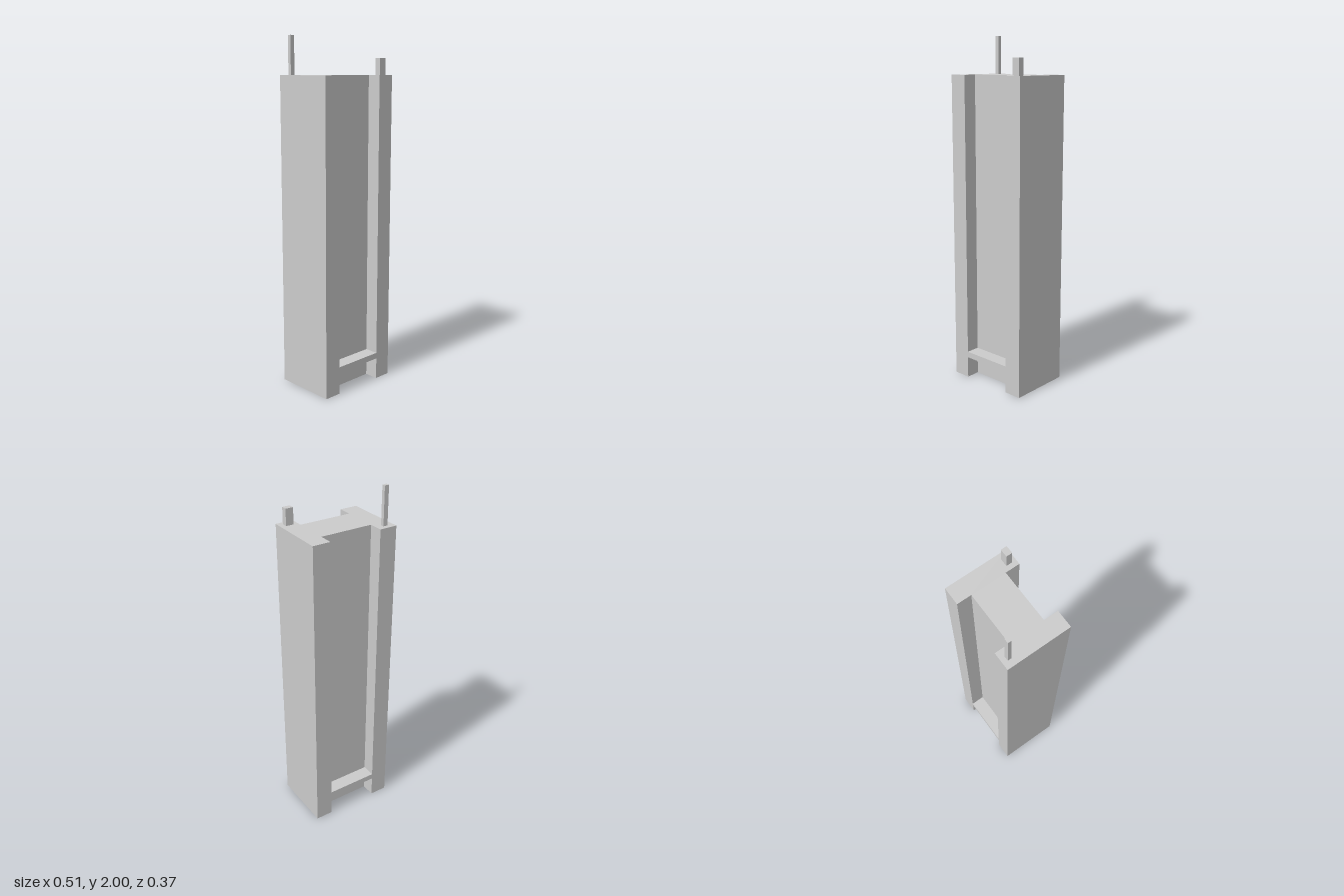
import * as THREE from 'three';

export function createModel() {
  const model = new THREE.Group();
  const material = new THREE.MeshStandardMaterial({ color: 0xcccccc, flatShading: true, side: THREE.DoubleSide });

  const W = 0.255, D = 0.183;          // half width and half depth of the tower
  const R = 0.153, C = 0.101;          // half width of the recesses, half thickness of the core
  const H = 1.785;                     // tower height
  const ledgeLow = 0.125, ledgeHigh = 0.16;

  const add = (parent, name, geometry, x, y, z) => {
    const mesh = new THREE.Mesh(geometry, material);
    mesh.name = name;
    mesh.position.set(x, y, z);
    parent.add(mesh);
    return mesh;
  };

  // Vertical wall from a to b (x, z), facing outwards
  const wall = (parent, name, a, b, low, high) => {
    const dx = b[0] - a[0], dz = b[1] - a[1];
    const geometry = new THREE.PlaneGeometry(Math.hypot(dx, dz), high - low);
    geometry.rotateY(Math.atan2(-dz, dx));
    add(parent, name, geometry, (a[0] + b[0]) / 2, (low + high) / 2, (a[1] + b[1]) / 2);
  };

  // Tower: hollow H-shaped shell, open at the bottom
  const half = [[-W, D], [-R, D], [-R, C], [R, C], [R, D], [W, D]];
  const outline = [...half, ...half.map(([x, z]) => [-x, -z])];
  const tower = new THREE.Group();
  tower.name = 'tower';
  model.add(tower);
  outline.forEach((a, i) => {
    const b = outline[(i + 1) % outline.length];
    const inRecess = i % 6 >= 1 && i % 6 <= 3;
    if (inRecess) {
      wall(tower, 'lowerRecessWall', a, b, 0, ledgeLow);
      wall(tower, 'upperRecessWall', a, b, ledgeHigh, H);
    } else {
      wall(tower, 'outerWall', a, b, 0, H);
    }
  });

  // Roof
  const roof = new THREE.ShapeGeometry(new THREE.Shape(outline.map(([x, z]) => new THREE.Vector2(x, -z))));
  roof.rotateX(-Math.PI / 2);
  add(tower, 'roof', roof, 0, H, 0);

  // Ledges crossing the front and back recesses, open towards the core
  for (const side of [1, -1]) {
    const ledge = new THREE.Group();
    ledge.name = side > 0 ? 'frontLedge' : 'backLedge';
    wall(ledge, 'ledgeFace', [-R * side, D * side], [R * side, D * side], ledgeLow, ledgeHigh);
    for (const [name, y, turn] of [['ledgeTop', ledgeHigh, -1], ['ledgeUnderside', ledgeLow, 1]]) {
      const slab = new THREE.PlaneGeometry(2 * R, D - C).rotateX(turn * Math.PI / 2);
      add(ledge, name, slab, 0, y, side * (C + D) / 2);
    }
    model.add(ledge);
  }

  // Rooftop posts
  add(model, 'tallMast', new THREE.BoxGeometry(0.026, 2 - H, 0.021), -0.205, (2 + H) / 2, -0.145);
  add(model, 'shortPost', new THREE.BoxGeometry(0.045, 0.093, 0.034), 0.203, H + 0.0465, 0.142);

  return model;
}
